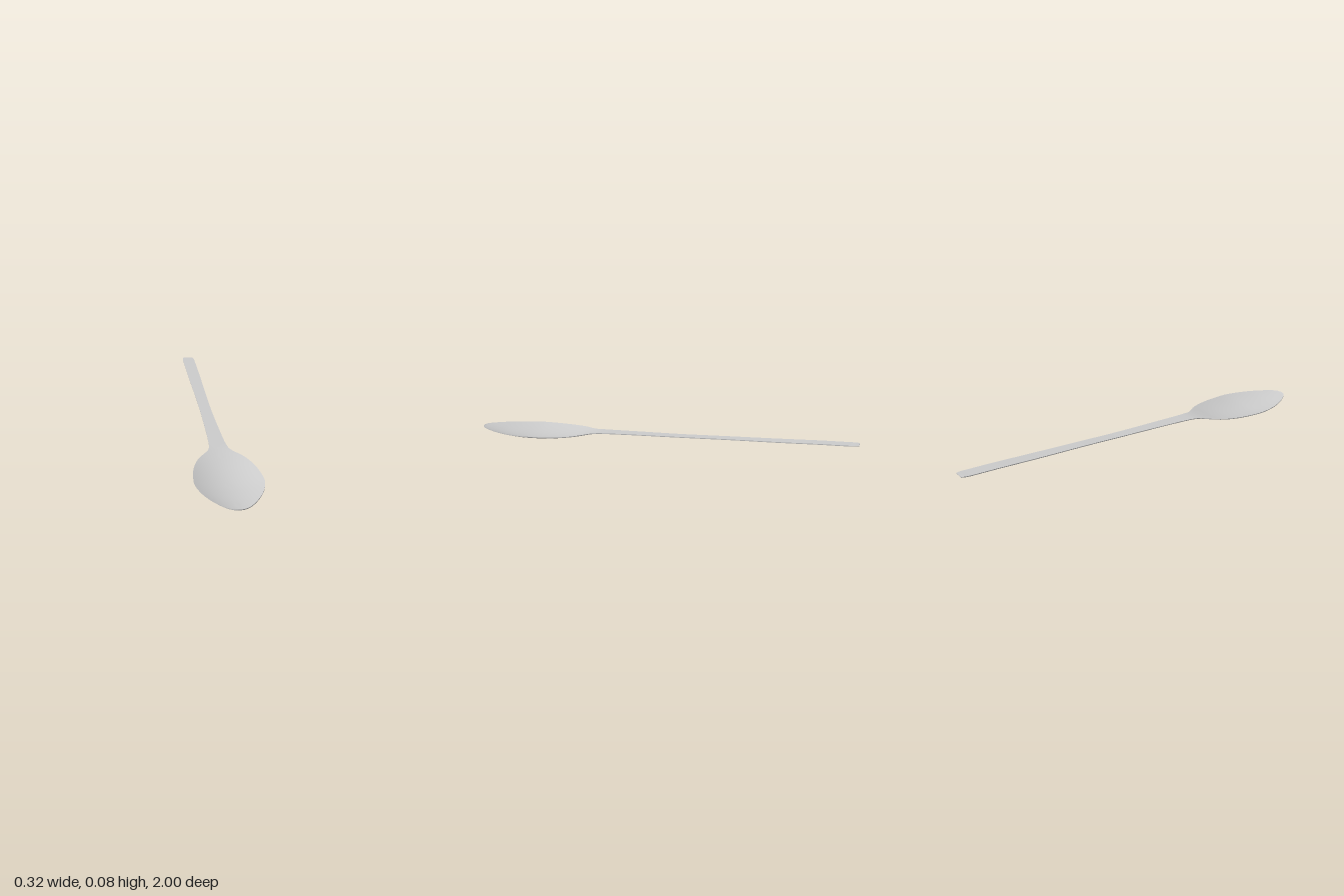
import * as THREE from 'three';
import { toCreasedNormals } from 'three/addons/utils/BufferGeometryUtils.js';

// Stations from bowl tip to handle end: z, half width, rim height, keel height
const STATIONS = [
  [1, 0, 0.034, 0.034], [0.992, 0.027, 0.034, 0.032], [0.97, 0.053, 0.033, 0.028],
  [0.93, 0.082, 0.032, 0.021], [0.87, 0.115, 0.031, 0.012], [0.8, 0.141, 0.03, 0.005],
  [0.72, 0.157, 0.03, 0], [0.64, 0.155, 0.03, 0.001], [0.56, 0.144, 0.031, 0.007],
  [0.49, 0.124, 0.033, 0.017], [0.44, 0.1, 0.036, 0.027], [0.4, 0.071, 0.039, 0.035],
  [0.37, 0.052, 0.042, 0.04], [0.33, 0.043, 0.045, 0.0445], [0.26, 0.038, 0.047, 0.047],
  [0.12, 0.034, 0.05, 0.05], [-0.1, 0.03, 0.054, 0.054], [-0.35, 0.03, 0.061, 0.061],
  [-0.6, 0.033, 0.067, 0.067], [-0.8, 0.034, 0.073, 0.073], [-0.91, 0.034, 0.075, 0.075],
  [-0.96, 0.034, 0.076, 0.076], [-0.985, 0.031, 0.077, 0.077], [-1, 0.026, 0.077, 0.077],
];
const THICKNESS = 0.004;
const ROWS = 120;
const COLS = 20;

export function createModel() {
  const group = new THREE.Group();
  group.name = 'spoon';
  const curve = (f) => new THREE.CatmullRomCurve3(STATIONS.map(f), false, 'catmullrom', 0.5);
  const rim = curve(([z, w, r]) => new THREE.Vector3(w, r, z));
  const keel = curve(([z, , , k]) => new THREE.Vector3(0, k, z));

  // Each cross-section is a closed loop: across the top, back along the underside
  const loop = 2 * (COLS + 1);
  const positions = [];
  const index = [];
  for (let i = 0; i <= ROWS; i++) {
    const r = rim.getPoint(i / ROWS);
    const k = keel.getPoint(i / ROWS);
    for (let j = 0; j < loop; j++) {
      const top = j <= COLS;
      const u = (top ? j : loop - 1 - j) / COLS * 2 - 1;
      const y = k.y + (r.y - k.y) * u * u;
      positions.push(r.x * u, Math.max(y, 0) + (top ? THICKNESS : 0), r.z);
    }
  }
  for (let i = 0; i < ROWS; i++) {
    for (let j = 0; j < loop; j++) {
      const a = i * loop + j;
      const b = i * loop + (j + 1) % loop;
      index.push(a, b, a + loop, b, b + loop, a + loop);
    }
  }
  // Flat cap at the handle end
  const end = ROWS * loop;
  for (let j = 0; j < COLS; j++) {
    const a = end + j;
    const d = end + loop - 1 - j;
    index.push(a, a + 1, d, a + 1, d - 1, d);
  }

  const geometry = new THREE.BufferGeometry();
  geometry.setAttribute('position', new THREE.Float32BufferAttribute(positions, 3));
  geometry.setIndex(index);
  const mesh = new THREE.Mesh(
    toCreasedNormals(geometry, Math.PI / 5),
    new THREE.MeshStandardMaterial({ color: 0xcccccc, side: THREE.DoubleSide })
  );
  mesh.name = 'bowlAndHandle';
  group.add(mesh);
  return group;
}
